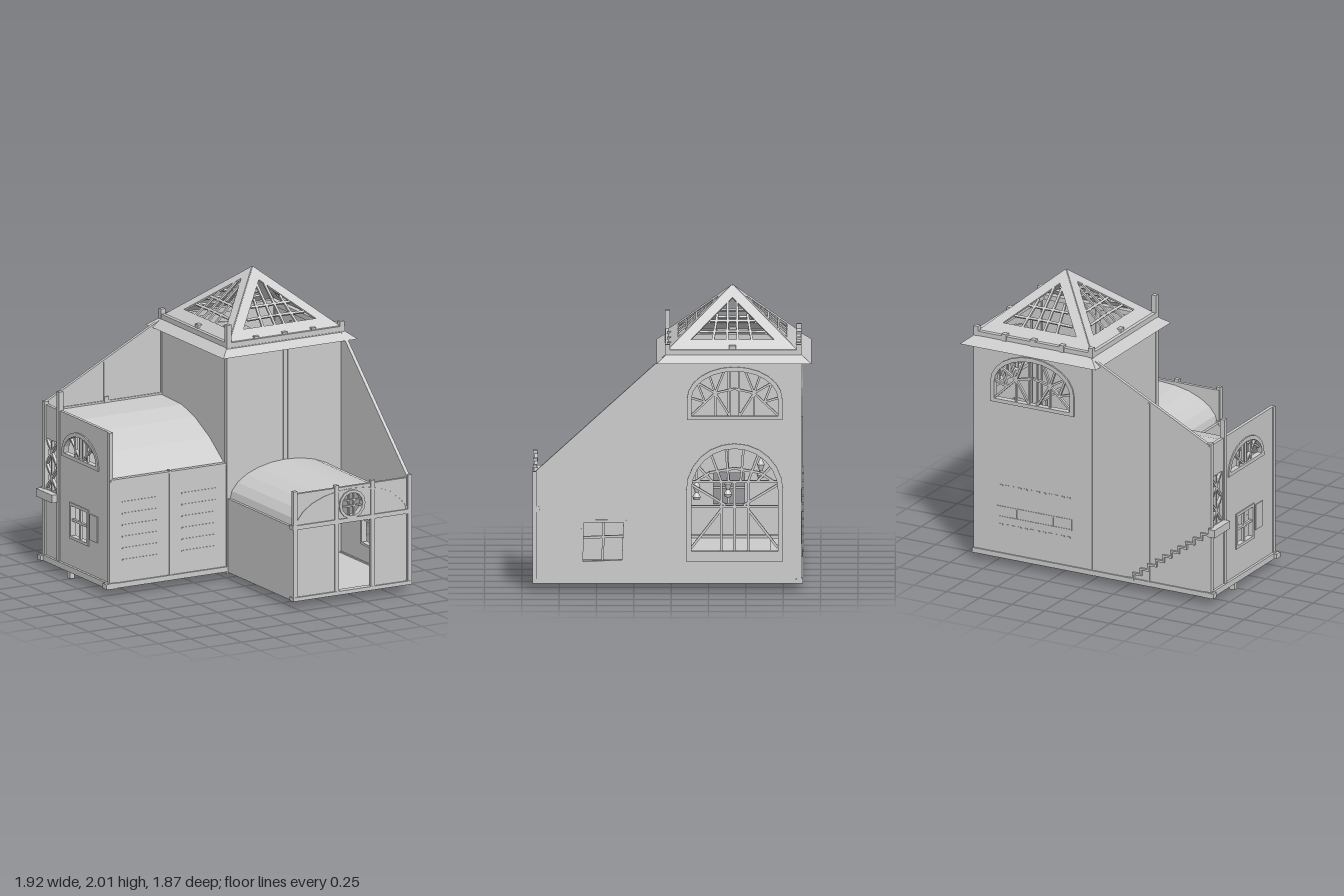
import * as THREE from 'three';

const mat = new THREE.MeshStandardMaterial({ color: 0xcccccc, flatShading: true, side: THREE.DoubleSide });
const V = (x, y) => new THREE.Vector2(x, y);
const SIDE = Math.PI / 2; // side panels: local x runs towards -z, local z towards +x

const rect = (x0, y0, x1, y1) => [[x0, y0], [x1, y0], [x1, y1], [x0, y1]];

// Outline with straight jambs and an elliptical head
function arch(cx, y0, spring, half, top, n = 12) {
  const pts = [[cx - half, y0], [cx + half, y0]];
  for (let i = 0; i <= n; i++) {
    const a = Math.PI * i / n;
    pts.push([cx + half * Math.cos(a), spring + (top - spring) * Math.sin(a)]);
  }
  return pts;
}
const round = (cx, cy, r, n = 14) => Array.from({ length: n }, (_, i) =>
  [cx + r * Math.cos(2 * Math.PI * i / n), cy + r * Math.sin(2 * Math.PI * i / n)]);

function slab(parent, name, outline, holes = [], t = 0.024) {
  const shape = new THREE.Shape(outline.map(p => V(...p)));
  holes.forEach(h => shape.holes.push(new THREE.Path(h.map(p => V(...p)))));
  const geo = new THREE.ExtrudeGeometry(shape, { depth: t, bevelEnabled: false });
  geo.translate(0, 0, -t / 2);
  const m = new THREE.Mesh(geo, mat);
  m.name = name;
  parent.add(m);
  return m;
}
function panel(root, name, x, z, rotY) {
  const g = new THREE.Group();
  g.name = name;
  g.position.set(x, 0, z);
  g.rotation.y = rotY;
  root.add(g);
  return g;
}
function box(parent, name, x0, x1, y0, y1, z0, z1) {
  const m = new THREE.Mesh(new THREE.BoxGeometry(x1 - x0, y1 - y0, z1 - z0), mat);
  m.name = name;
  m.position.set((x0 + x1) / 2, (y0 + y1) / 2, (z0 + z1) / 2);
  parent.add(m);
  return m;
}
const post = (p, name, x, z, y0, y1, w = 0.034) => box(p, name, x - w / 2, x + w / 2, y0, y1, z - w / 2, z + w / 2);

// Bars between pairs of points in a panel's plane
function bars(parent, name, list, w = 0.016, d = 0.02) {
  for (const [ax, ay, bx, by] of list) {
    const m = new THREE.Mesh(new THREE.BoxGeometry(Math.hypot(bx - ax, by - ay), w, d), mat);
    m.name = name;
    m.position.set((ax + bx) / 2, (ay + by) / 2, 0);
    m.rotation.z = Math.atan2(by - ay, bx - ax);
    parent.add(m);
  }
}
const mirrorBars = (cx, list) => list.flatMap(([a, b, c, d]) => [[cx + a, b, cx + c, d], [cx - a, b, cx - c, d]]);

function upperWindow(p, cx) {
  slab(p, 'upperWindowFrame', arch(cx, 1.16, 1.3, 0.32, 1.52), [arch(cx, 1.185, 1.3, 0.29, 1.49)], 0.045);
  bars(p, 'upperWindowBar', mirrorBars(cx, [
    [0.03, 1.18, 0.03, 1.5], [0.3, 1.18, 0.13, 1.34], [0.13, 1.34, 0.07, 1.49], [0.13, 1.34, 0.17, 1.46],
    [0.2, 1.28, 0.25, 1.41], [0.2, 1.28, 0.3, 1.31], [0.13, 1.34, 0.25, 1.41], [0.13, 1.18, 0.13, 1.34],
    [0, 1.37, 0.13, 1.34], [0.03, 1.18, 0.13, 1.34]]), 0.014);
}

export function createModel() {
  const root = new THREE.Group();
  root.name = 'towerHouse';
  const cx = 0.44, cz = -0.41;

  // Floors and feet
  box(root, 'mainFloor', -0.01, 0.89, 0.05, 0.07, -0.87, 0.92);
  box(root, 'wingFloor', -0.92, -0.01, 0.05, 0.07, -0.87, 0.03);
  box(root, 'foot', -0.92, -0.885, 0, 0.05, -0.54, -0.5);
  box(root, 'foot', -0.015, 0.015, 0.035, 0.05, 0, 0.03);

  // Right wall: tower and sloping wing side in one piece
  const right = panel(root, 'rightWall', 0.877, 0, SIDE);
  const upper = arch(0.425, 1.17, 1.3, 0.305, 1.505), great = arch(0.425, 0.21, 0.68, 0.31, 0.99);
  slab(right, 'rightWallPanel', [[-0.92, 0.05], [0.87, 0.05], [0.87, 1.6], [-0.04, 1.6], [-0.92, 0.8]],
    [upper, great, rect(-0.6, 0.2, -0.32, 0.47)]);
  upperWindow(right, 0.425);
  slab(right, 'greatWindowFrame', arch(0.425, 0.2, 0.68, 0.325, 1.0), [arch(0.425, 0.27, 0.68, 0.29, 0.965)], 0.045);
  bars(right, 'greatWindowBar', mirrorBars(0.425, [
    [0, 0.57, 0.3, 0.57], [0, 0.74, 0.3, 0.74], [0.09, 0.27, 0.09, 0.74], [0.29, 0.29, 0.09, 0.55],
    [0.29, 0.72, 0.06, 0.58], [0, 0.83, 0.17, 0.8], [0.17, 0.8, 0.26, 0.74], [0.04, 0.74, 0.06, 0.97],
    [0.09, 0.74, 0.16, 0.93], [0.15, 0.74, 0.25, 0.85]]));
  bars(right, 'greatWindowMullion', [[0.425, 0.27, 0.425, 0.74]], 0.02);
  slab(right, 'sideWindowFrame', [[-0.61, 0.18], [-0.31, 0.195], [-0.3, 0.48], [-0.6, 0.485]],
    [[[-0.59, 0.2], [-0.33, 0.21], [-0.32, 0.465], [-0.585, 0.465]]], 0.04);
  bars(right, 'sideWindowBar', [[-0.46, 0.2, -0.45, 0.47], [-0.59, 0.36, -0.32, 0.37]]);
  bars(right, 'rightRail', [[-0.92, 0.565, -0.04, 0.565], [-0.92, 0.54, -0.04, 0.54]], 0.01, 0.032);
  bars(right, 'rightSill', [[-0.92, 0.065, 0.87, 0.065]], 0.03, 0.04);

  // Back wall: tower and sloping wing back in one piece
  const back = panel(root, 'backWall', 0, -0.86, 0);
  slab(back, 'backWallPanel', [[-0.91, 0.05], [0.89, 0.05], [0.89, 1.6], [-0.01, 1.6], [-0.91, 1.14]],
    [arch(cx, 1.17, 1.3, 0.305, 1.505)]);
  upperWindow(back, cx);
  bars(back, 'backSeam', [[-0.45, 0.05, -0.45, 1.36], [-0.01, 0.05, -0.01, 1.6]], 0.014, 0.034);
  bars(back, 'backSill', [[-0.95, 0.07, 0.9, 0.07]], 0.035, 0.044);
  slab(back, 'backRackFrame', rect(0.14, 0.34, 0.71, 0.42),
    [0, 1, 2, 3].map(i => rect(0.15 + i * 0.14, 0.348, 0.28 + i * 0.14, 0.412)), 0.032);
  for (let i = 0; i < 12; i++)
    for (const y of [0.29, 0.57]) bars(back, 'backPeg', [[0.15 + i * 0.047, y, 0.175 + i * 0.047, y]], 0.009, 0.032);

  // Outside stairs and landing
  const steps = 11;
  for (let i = 0; i < steps; i++) {
    const x = -0.28 - i * 0.058, y = 0.09 + i * 0.042;
    box(root, 'stairTread', x - 0.062, x, y - 0.014, y, -0.888, -0.86);
    box(root, 'stairRiser', x - 0.062, x - 0.05, y - 0.01, y + 0.042, -0.888, -0.86);
  }
  box(root, 'landing', -0.96, -0.91, 0.49, 0.545, -0.885, -0.67);

  // Left end wall with door, half-round window and small window
  const end = panel(root, 'endWall', -0.9, 0, SIDE);
  slab(end, 'endWallPanel', [[-0.02, 0.05], [0.87, 0.05], [0.87, 1.13], [-0.02, 1.13]],
    [rect(0.69, 0.55, 0.84, 0.9), arch(0.37, 0.84, 0.85, 0.23, 1.02), rect(0.27, 0.29, 0.5, 0.52)]);
  slab(end, 'halfRoundFrame', arch(0.37, 0.83, 0.85, 0.245, 1.035), [arch(0.37, 0.855, 0.86, 0.215, 1.005)], 0.04);
  bars(end, 'halfRoundBar', mirrorBars(0.37, [[0.02, 0.84, 0.02, 1.01], [0.02, 0.85, 0.15, 0.97], [0.08, 0.84, 0.08, 1]]), 0.012);
  slab(end, 'endWindowFrame', rect(0.26, 0.28, 0.51, 0.53), [rect(0.28, 0.3, 0.49, 0.51)], 0.04);
  bars(end, 'endWindowBar', [[0.385, 0.29, 0.385, 0.52], [0.27, 0.41, 0.5, 0.41]]);
  slab(end, 'shutter', rect(0.14, 0.33, 0.24, 0.51), [], 0.036);
  bars(end, 'doorLattice', [[0.69, 0.55, 0.84, 0.72], [0.84, 0.55, 0.69, 0.72], [0.69, 0.72, 0.84, 0.9],
    [0.84, 0.72, 0.69, 0.9], [0.765, 0.55, 0.765, 0.9]], 0.014);
  bars(end, 'endSill', [[-0.04, 0.07, 0.88, 0.07]], 0.04, 0.06);
  post(root, 'endPost', -0.905, -0.66, 0.05, 1.26);
  post(root, 'endPost', -0.905, -0.85, 0.05, 1.15);
  post(root, 'endPost', -0.905, 0.015, 0.05, 1.13, 0.028);

  // Left wing front wall with louvres
  const wingFront = panel(root, 'wingFrontWall', 0, 0.015, 0);
  slab(wingFront, 'wingFrontPanel', rect(-0.91, 0.05, -0.01, 0.8));
  bars(wingFront, 'wingFrontTrim', [[-0.95, 0.07, -0.01, 0.07]], 0.035, 0.05);
  bars(wingFront, 'wingFrontTrim', [[-0.91, 0.797, -0.01, 0.797], [-0.45, 0.07, -0.45, 0.81]], 0.014, 0.036);
  for (let i = 0; i < 6; i++)
    bars(wingFront, 'louvre', [[-0.82, 0.24 + i * 0.08, -0.55, 0.24 + i * 0.08],
      [-0.36, 0.24 + i * 0.08, -0.1, 0.24 + i * 0.08]], 0.008, 0.032);

  // Left wing roof: curved sheet rising to the back wall
  const curve = [[0, 0.79], [0.2, 0.93], [0.4, 1.025], [0.57, 1.07], [0.86, 1.08]];
  const wingRoof = panel(root, 'wingRoof', -0.455, 0, SIDE);
  slab(wingRoof, 'wingRoofSheet', [...curve, ...curve.slice().reverse().map(([u, y]) => [u, y - 0.015])], [], 0.89);
  box(root, 'wingRidgeRail', -0.9, -0.01, 1.072, 1.092, -0.86, -0.84);
  post(root, 'wingFinial', -0.44, -0.855, 1.07, 1.12);

  // Tower front and left walls, open below to the wings
  const towerFront = panel(root, 'towerFrontWall', 0, 0.03, 0);
  slab(towerFront, 'towerFrontPanel', rect(-0.01, 0.05, 0.88, 1.6), [rect(0.05, 0.07, 0.83, 0.55)]);
  bars(towerFront, 'towerFrontBeam', [[0.42, 0.76, 0.42, 1.58], [0.455, 0.76, 0.455, 1.58]], 0.01, 0.036);
  const towerLeft = panel(root, 'towerLeftWall', 0, 0, SIDE);
  slab(towerLeft, 'towerLeftPanel', rect(-0.04, 0.05, 0.87, 1.6),
    [[[0.07, 0.07], [0.82, 0.07], [0.82, 1.03], [0.57, 1.03], [0.4, 0.98], [0.2, 0.88], [0.07, 0.78]]]);

  // Front wing: side wall, barrel roof and front wall
  slab(panel(root, 'frontWingSide', 0, 0, SIDE), 'frontWingSidePanel', rect(-0.92, 0.05, -0.04, 0.56));
  const vault = (d) => Array.from({ length: 13 }, (_, i) => {
    const a = Math.PI * (1 - i / 12);
    return [cx + (0.435 - d) * Math.cos(a), 0.55 + (0.225 - d) * Math.sin(a)];
  });
  slab(panel(root, 'frontWingRoof', 0, 0.475, 0), 'frontWingRoofSheet', [...vault(0), ...vault(0.014).reverse()], [], 0.87);
  const front = panel(root, 'frontWall', 0, 0.905, 0);
  slab(front, 'frontWallPanel', rect(-0.01, 0.05, 0.89, 0.79), [rect(0.33, 0.07, 0.6, 0.55), round(cx, 0.665, 0.085)]);
  slab(front, 'roundWindowFrame', round(cx, 0.665, 0.1), [round(cx, 0.665, 0.08)], 0.045);
  bars(front, 'roundWindowBar', [[cx - 0.02, 0.58, cx - 0.02, 0.75], [cx + 0.02, 0.58, cx + 0.02, 0.75],
    [0.36, 0.65, 0.52, 0.65], [0.36, 0.69, 0.52, 0.69]], 0.01);
  slab(front, 'frontArchTrim', [...vault(0), ...vault(0.01).reverse()], [], 0.032);
  bars(front, 'frontBeam', [[-0.02, 0.558, 0.9, 0.558]], 0.03, 0.045);
  bars(front, 'frontSill', [[-0.02, 0.063, 0.9, 0.063]], 0.026, 0.05);
  for (const x of [0, 0.32, 0.6, 0.885]) post(root, 'frontPost', x, 0.912, 0.05, 0.81, 0.03);

  // Tower eave skirt, ring beam, corner posts and clamps
  const eave = new THREE.Mesh(new THREE.CylinderGeometry(0.45 * Math.SQRT2, 0.52 * Math.SQRT2, 0.055, 4, 1, true), mat);
  eave.name = 'eaveSkirt';
  eave.geometry.rotateY(Math.PI / 4);
  eave.position.set(cx, 1.577, -0.42);
  root.add(eave);
  const ring = slab(root, 'ringBeam', rect(-0.455, -0.455, 0.455, 0.455), [rect(-0.37, -0.37, 0.37, 0.37)], 0.035);
  ring.rotation.x = -SIDE;
  ring.position.set(cx, 1.618, cz - 0.005);
  post(root, 'tallCornerPost', 0, 0.025, 0.05, 1.76);
  for (const [x, z] of [[0, -0.855], [0.875, -0.855], [0.875, 0.025]]) post(root, 'cornerPost', x, z, 0.05, 1.67);
  for (const s of [-0.22, 0, 0.22])
    for (const z of [-0.855, 0.01]) post(root, 'eaveClamp', cx + s, z, 1.6, 1.65, 0.036);
  for (const x of [0.03, 0.86]) post(root, 'eaveClamp', x, cz, 1.6, 1.66, 0.045);

  // Pyramid roof: four framed, glazed triangles
  const rise = 0.37, run = 0.425, len = Math.hypot(rise, run);
  for (let i = 0; i < 4; i++) {
    const turn = panel(root, 'pyramidSide', cx, cz, i * SIDE);
    const face = new THREE.Group();
    face.position.set(0, 1.63, run);
    face.rotation.x = -Math.atan2(run, rise);
    turn.add(face);
    slab(face, 'pyramidFrame', [[-run, 0], [run, 0], [0, len]], [[[-0.28, 0.085], [0.28, 0.085], [0, len - 0.11]]], 0.014);
    bars(face, 'pyramidBar', mirrorBars(0, [[0.035, 0.08, 0.03, 0.42], [0.13, 0.08, 0.1, 0.31], [0, 0.16, 0.22, 0.155],
      [0, 0.25, 0.15, 0.25]]), 0.016, 0.014);
  }

  // Interior: shelves, hooks, counter and hanging lamps
  box(root, 'counter', 0.2, 0.75, 0.22, 0.245, -0.84, -0.66);
  for (const y of [0.15, 0.46, 0.53]) box(root, 'shelf', 0.2, 0.75, y, y + 0.015, -0.85, -0.72);
  for (const x of [0.2, 0.45, 0.73]) box(root, 'shelfPost', x, x + 0.02, 0.07, 0.53, -0.85, -0.82);
  for (const x of [0.36, 0.43, 0.53]) post(root, 'hook', x, -0.73, 0.33, 0.46, 0.012);
  for (const [z, y, top] of [[-0.17, 0.59, 0.95], [-0.38, 0.61, 1.6], [-0.6, 0.74, 1.1]]) {
    post(root, 'lampCord', 0.72, z, y, top, 0.012);
    const lamp = new THREE.Mesh(new THREE.LatheGeometry(
      [V(0.02, 0), V(0.028, 0.02), V(0.012, 0.05), V(0.025, 0.09), V(0.008, 0.13)], 10), mat);
    lamp.name = 'hangingLamp';
    lamp.position.set(0.72, y, z);
    root.add(lamp);
  }
  box(root, 'lampBeam', 0.71, 0.73, 0.95, 0.965, -0.85, 0.02);
  return root;
}
